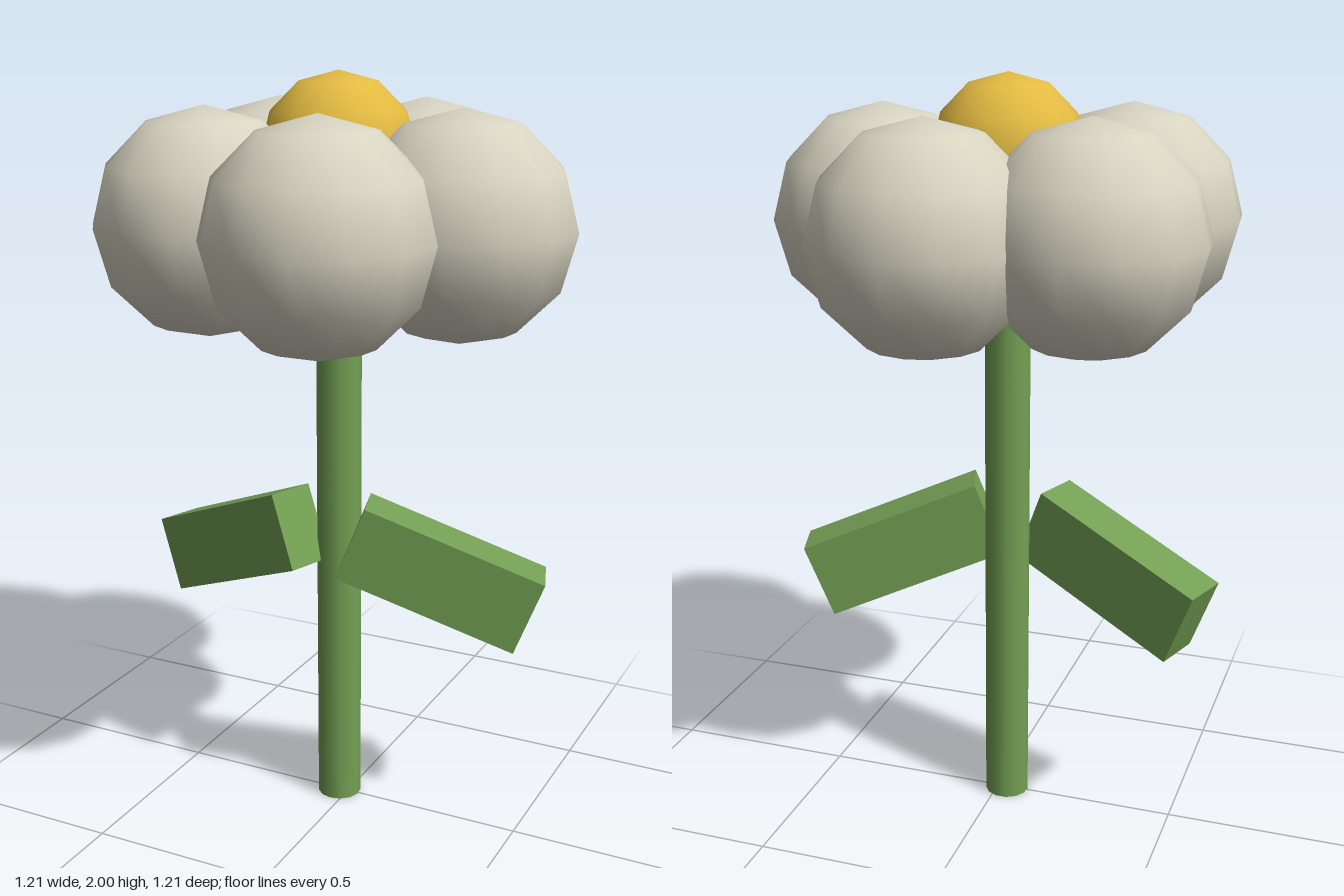
import * as THREE from 'three';

const AXIS_X = -0.027; // stem and flower head axis

const material = (name, color) => {
  const m = new THREE.MeshStandardMaterial({ color });
  m.name = name;
  return m;
};

export function createModel() {
  const flower = new THREE.Group();
  flower.name = 'flower';

  const green = material('leaf green', 0x74a054);
  const cream = material('petal cream', 0xd8d4c2);
  const yellow = material('centre yellow', 0xe3bb42);

  const add = (name, geometry, mat, x, y, z) => {
    const mesh = new THREE.Mesh(geometry, mat);
    mesh.name = name;
    mesh.position.set(x, y, z);
    flower.add(mesh);
    return mesh;
  };

  // Stem, running up into the flower head
  const stemHeight = 1.63;
  add('stem', new THREE.CylinderGeometry(0.06, 0.06, stemHeight, 13), green, AXIS_X, stemHeight / 2, 0);

  // Five round petals in a ring
  const petalGeometry = new THREE.SphereGeometry(0.29, 13, 6).rotateY(-Math.PI / 2);
  for (let i = 0; i < 5; i++) {
    const a = (i / 5) * Math.PI * 2;
    add(`petal${i + 1}`, petalGeometry, cream, AXIS_X + 0.336 * Math.cos(a), 1.63, 0.336 * Math.sin(a));
  }

  // Yellow centre
  const centreGeometry = new THREE.SphereGeometry(0.2, 13, 6).rotateY(-Math.PI / 2);
  add('flowerCentre', centreGeometry, yellow, AXIS_X, 1.8, 0);

  // Mirrored block leaves, drooping and swept backwards
  const leafGeometry = new THREE.BoxGeometry(0.505, 0.21, 0.137);
  for (const side of [1, -1]) {
    const leaf = add(side > 0 ? 'leftLeaf' : 'rightLeaf', leafGeometry, green, AXIS_X + side * 0.302, 0.718, 0.003);
    leaf.rotation.set(
      0,
      side * THREE.MathUtils.degToRad(18),
      -side * THREE.MathUtils.degToRad(21.5),
      'YZX'
    );
  }

  return flower;
}
